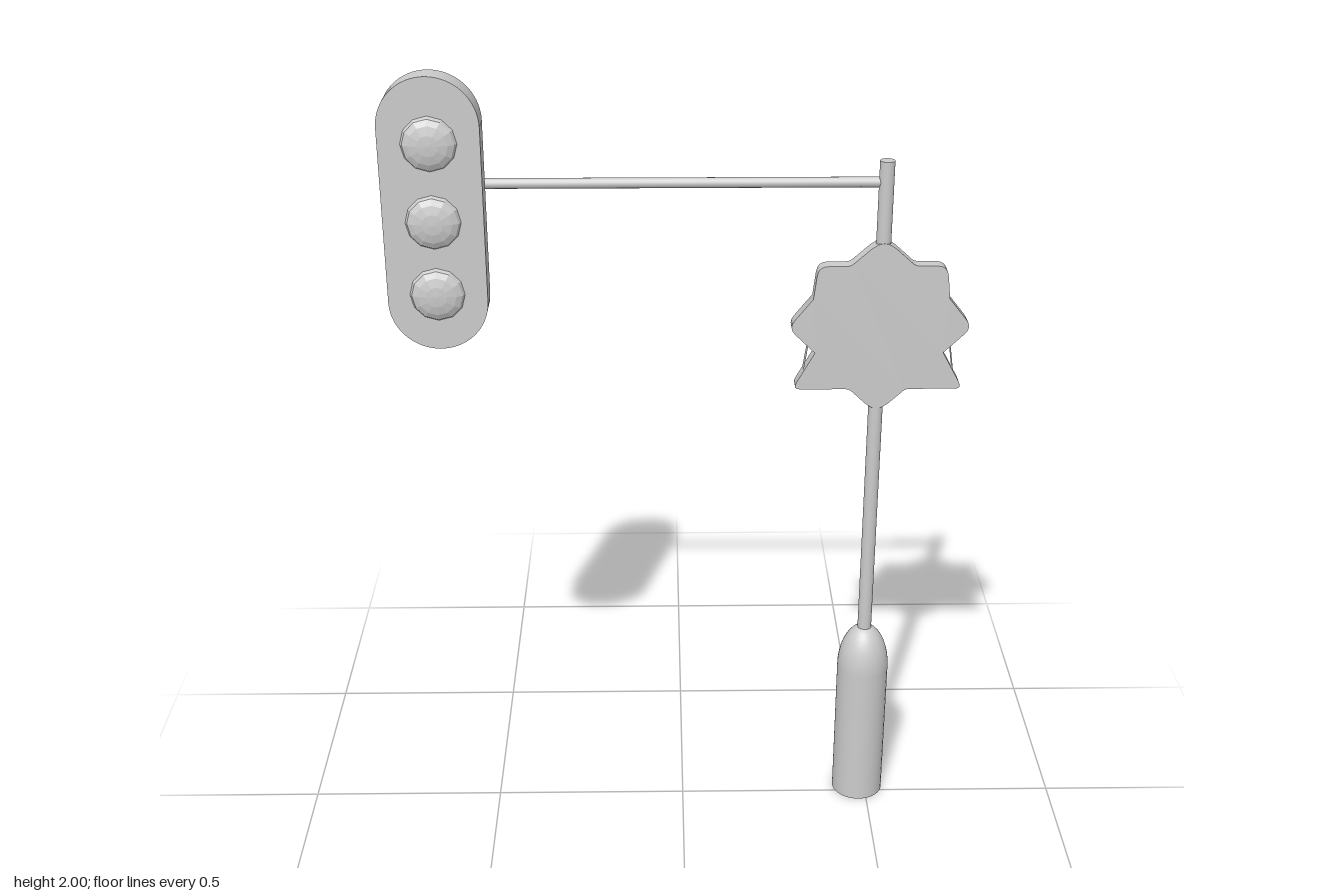
import * as THREE from 'three';
import { mergeGeometries, toCreasedNormals } from 'three/addons/utils/BufferGeometryUtils.js';

const material = new THREE.MeshStandardMaterial({ color: 0xcccccc, side: THREE.DoubleSide });
const flatMaterial = new THREE.MeshStandardMaterial({ color: 0xcccccc, side: THREE.DoubleSide, flatShading: true });
const POLE_X = 0.48, POLE_Z = -0.027;

function part(parent, name, geometry, x, y, z, mat = material) {
  const mesh = new THREE.Mesh(geometry, mat);
  mesh.name = name;
  mesh.position.set(x, y, z);
  parent.add(mesh);
  return mesh;
}

// Closed band of wall following an outline, from z = 0 back to z = -depth
function wall(points, depth) {
  const pos = [];
  points.forEach((a, i) => {
    const b = points[(i + 1) % points.length];
    pos.push(a.x, a.y, 0, a.x, a.y, -depth, b.x, b.y, -depth);
    pos.push(a.x, a.y, 0, b.x, b.y, -depth, b.x, b.y, 0);
  });
  const g = new THREE.BufferGeometry();
  g.setAttribute('position', new THREE.Float32BufferAttribute(pos, 3));
  g.computeVertexNormals();
  return toCreasedNormals(g, 0.6);
}

// Front plate with a wall round it, open at the back
function shell(points, depth) {
  const plate = new THREE.ShapeGeometry(new THREE.Shape(points)).toNonIndexed();
  plate.deleteAttribute('uv');
  return mergeGeometries([plate, wall(points, depth)]);
}

// Polygon whose corners [x, y, r] are softened by distance r
function softened(corners) {
  const n = corners.length, path = new THREE.Path();
  const V = i => new THREE.Vector2(corners[(i + n) % n][0], corners[(i + n) % n][1]);
  for (let i = 0; i < n; i++) {
    const c = V(i), r = corners[i][2];
    const from = c.clone().add(V(i - 1).sub(c).setLength(r));
    const to = c.clone().add(V(i + 1).sub(c).setLength(r));
    if (i === 0) path.moveTo(from.x, from.y);
    else path.lineTo(from.x, from.y);
    if (r > 0) path.quadraticCurveTo(c.x, c.y, to.x, to.y);
  }
  return path.getPoints(4);
}

// Mirrors the left side of an outline (top to bottom); end points lie on x = 0
function mirrored(half) {
  return half.concat(half.slice(1, -1).reverse().map(([x, y, r]) => [-x, y, r]));
}

export function createModel() {
  const model = new THREE.Group();

  // Bullet-shaped hollow base
  const profile = [new THREE.Vector2(0.067, 0), new THREE.Vector2(0.067, 0.2), new THREE.Vector2(0.067, 0.39)];
  for (let i = 1; i <= 10; i++) {
    const a = (i / 10) * Math.PI / 2;
    profile.push(new THREE.Vector2(0.067 * Math.cos(a), 0.39 + 0.123 * Math.sin(a)));
  }
  part(model, 'base', new THREE.LatheGeometry(profile, 32), POLE_X, 0, POLE_Z);

  // Upright pole and side arm
  part(model, 'pole', new THREE.CylinderGeometry(0.018, 0.018, 1.285, 20), POLE_X, 1.1325, POLE_Z);
  part(model, 'arm', new THREE.CylinderGeometry(0.0125, 0.0125, 1.035, 16), -0.0375, 1.722, -0.03)
    .rotation.z = Math.PI / 2;

  // Signal housing: pill-shaped shell
  const signal = new THREE.Group();
  signal.name = 'signal';
  signal.position.set(-0.578, 1.6725, 0.068);
  model.add(signal);
  const pill = new THREE.Path();
  pill.absarc(0, 0.21, 0.1175, 0, Math.PI);
  pill.absarc(0, -0.21, 0.1175, Math.PI, 2 * Math.PI);
  part(signal, 'housing', shell(pill.getPoints(16), 0.065), 0, 0, 0);

  // Shallow faceted lamps
  [0.173, -0.013, -0.19].forEach(y => {
    const lamp = new THREE.SphereGeometry(0.065, 12, 4, 0, Math.PI * 2, 0, Math.PI / 2);
    lamp.rotateX(Math.PI / 2).scale(1, 1, 0.36);
    part(signal, 'lamp', lamp, 0, y, 0, flatMaterial);
  });

  // Eight-pointed sign plate with ribs behind it
  const sign = new THREE.Group();
  sign.name = 'sign';
  sign.position.set(POLE_X, 1.362, -0.008);
  model.add(sign);
  const star = softened(mirrored([
    [0, 0.228, 0.04], [-0.078, 0.158, 0.01], [-0.155, 0.158, 0.025], [-0.165, 0.074, 0],
    [-0.224, 0, 0.025], [-0.157, -0.066, 0], [-0.21, -0.162, 0.02], [-0.07, -0.162, 0.01], [0, -0.228, 0.04],
  ]));
  part(sign, 'starPlate', shell(star, 0.036), 0, 0, 0);
  const diamond = mirrored([[0, 0.208, 0.02], [-0.208, 0, 0.02], [0, -0.208, 0.02]]);
  const panel = [[-0.145, 0.15, 0.02], [-0.19, -0.156, 0.02], [0.19, -0.156, 0.02], [0.145, 0.15, 0.02]];
  [diamond, panel].forEach(rib => part(sign, 'rib', wall(softened(rib), 0.034), 0, 0, 0));

  return model;
}
